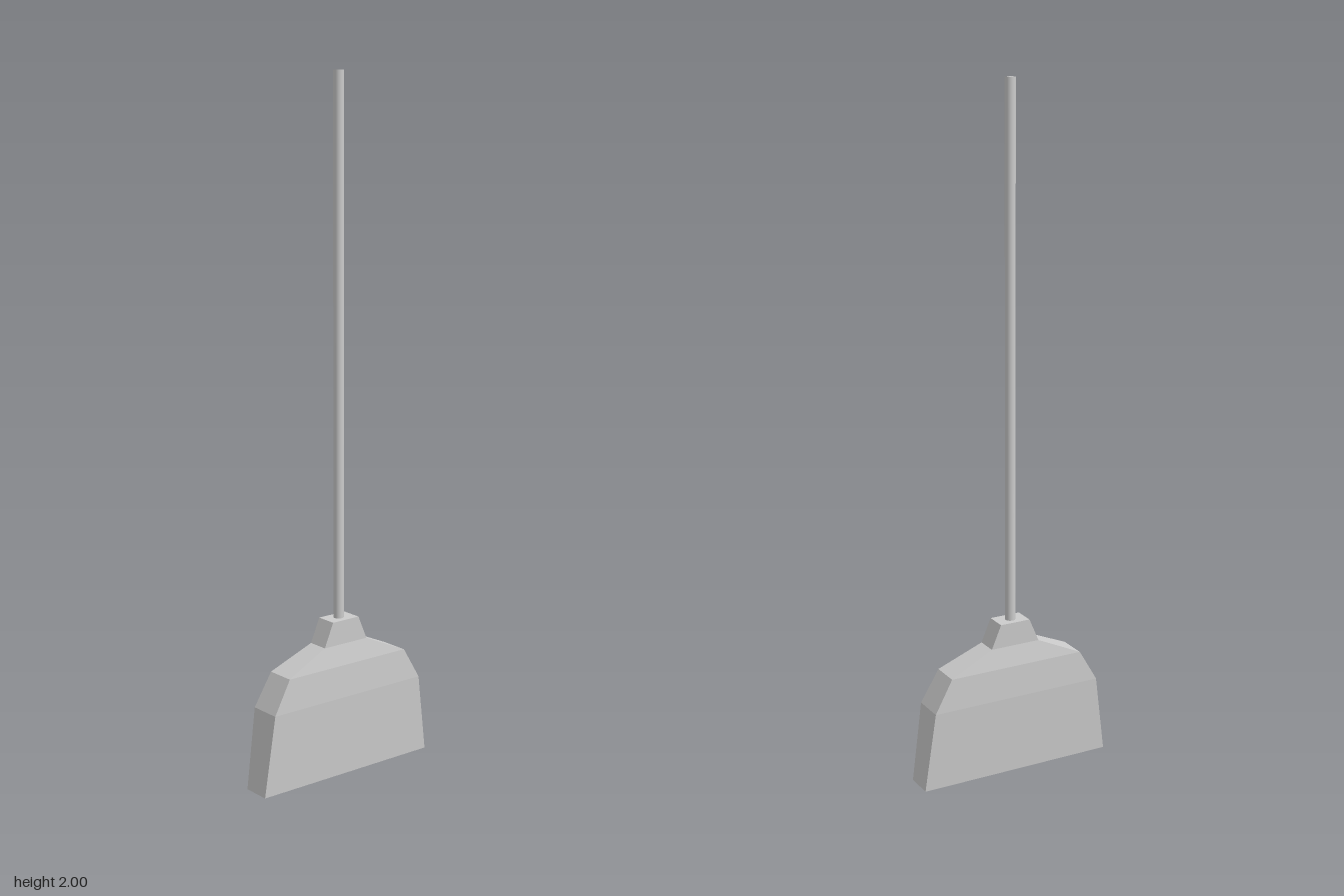
import * as THREE from 'three';

// Broom head cross-sections, bottom to top: height, half width, half depth
const SECTIONS = [
  [0, 0.3, 0.042],
  [0.235, 0.267, 0.0485],
  [0.33, 0.212, 0.044],
  [0.39, 0.077, 0.032],
  [0.46, 0.047, 0.032],
];
const POLE_RADIUS = 0.015;
const POLE_BOTTOM = 0.45;
const POLE_TOP = 2;

// A box with one level per section, each level fitted to its section
function headGeometry() {
  const levels = SECTIONS.length - 1;
  const geometry = new THREE.BoxGeometry(2, levels, 2, 1, levels, 1);
  const p = geometry.attributes.position;
  for (let i = 0; i < p.count; i++) {
    const [y, halfWidth, halfDepth] = SECTIONS[Math.round(p.getY(i) + levels / 2)];
    p.setXYZ(i, p.getX(i) * halfWidth, y, p.getZ(i) * halfDepth);
  }
  geometry.computeVertexNormals();
  return geometry;
}

export function createModel() {
  const group = new THREE.Group();
  group.name = 'broom';

  // Flared head with bristle block, shoulders and collar
  const head = new THREE.Mesh(
    headGeometry(),
    new THREE.MeshStandardMaterial({ color: 0xcccccc, flatShading: true })
  );
  head.name = 'broomHead';
  group.add(head);

  // Long round pole, seated in the collar
  const pole = new THREE.Mesh(
    new THREE.CylinderGeometry(POLE_RADIUS, POLE_RADIUS, POLE_TOP - POLE_BOTTOM, 32),
    new THREE.MeshStandardMaterial({ color: 0xcccccc })
  );
  pole.name = 'pole';
  pole.position.set(0, (POLE_TOP + POLE_BOTTOM) / 2, -0.001);
  group.add(pole);

  return group;
}
